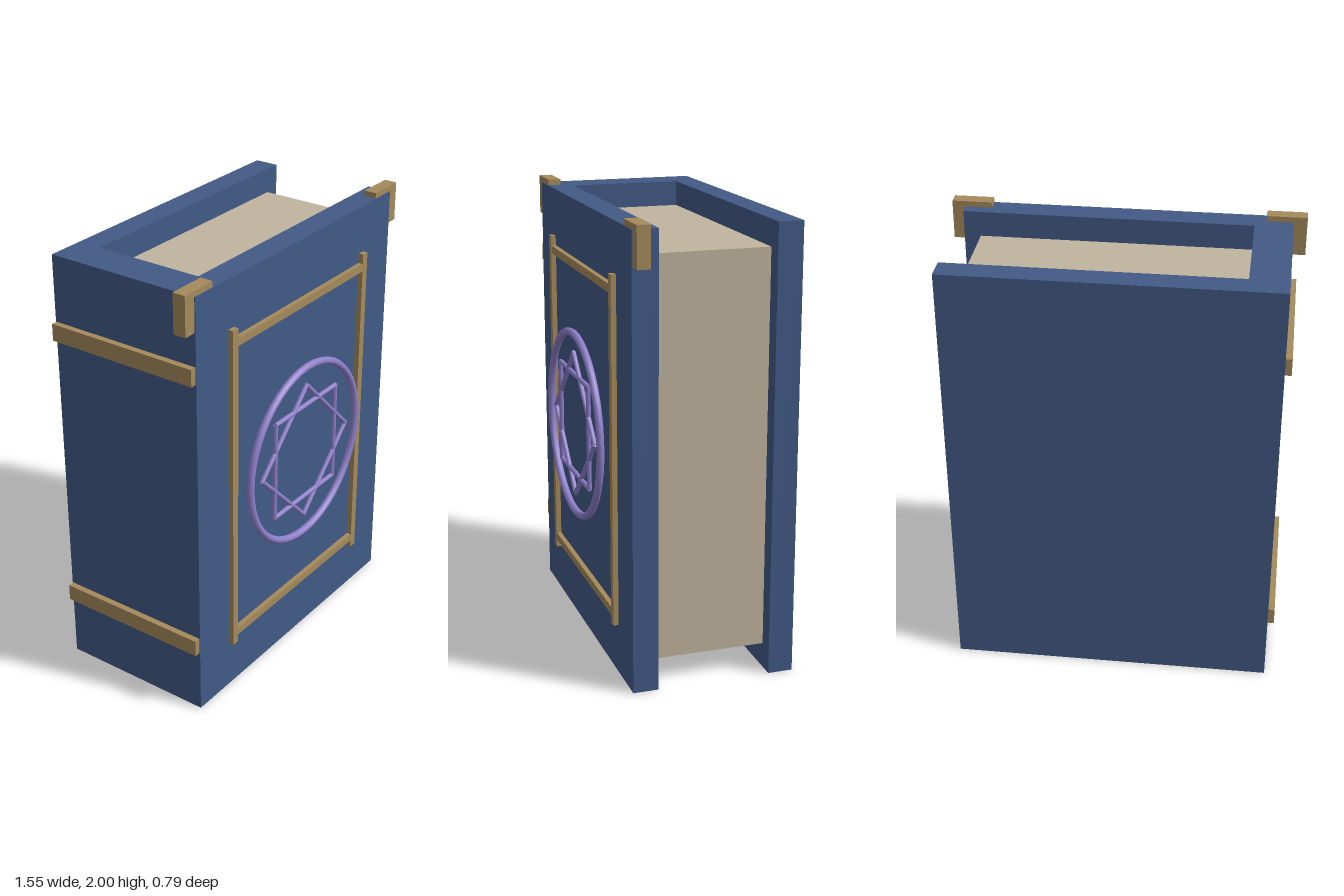
import * as THREE from 'three';

const mat = (name, color) => {
  const m = new THREE.MeshStandardMaterial({ color });
  m.name = name;
  return m;
};

export function createModel() {
  const book = new THREE.Group();
  book.name = 'book';

  const leather = mat('blue leather', 0x425a86);
  const paper = mat('cream paper', 0xc0b49f);
  const brass = mat('brass', 0xa58b5b);
  const violet = mat('violet', 0x8f80cc);

  // Box given by its minimum and maximum corners
  const box = (name, material, [x0, y0, z0], [x1, y1, z1], parent = book) => {
    const mesh = new THREE.Mesh(new THREE.BoxGeometry(x1 - x0, y1 - y0, z1 - z0), material);
    mesh.position.set((x0 + x1) / 2, (y0 + y1) / 2, (z0 + z1) / 2);
    mesh.name = name;
    parent.add(mesh);
    return mesh;
  };

  // Binding and page block
  const W = 0.717, H = 1.975, back = -0.395, front = 0.33;
  box('frontCover', leather, [-W, 0, 0.218], [W, H, front]);
  box('backCover', leather, [-W, 0, back], [W, H, -0.285]);
  box('spine', leather, [-W, 0, -0.285], [-0.55, H, 0.218]);
  box('pages', paper, [-0.55, 0.11, -0.285], [0.645, 1.862, 0.218]);

  // Raised bands across the spine
  for (const y of [0.338, 1.64]) {
    box('spineBand', brass, [-0.745, y - 0.038, back + 0.003], [-W, y + 0.038, front - 0.003]);
  }

  // Corner guards on the top of the front cover
  for (const s of [-1, 1]) {
    box('cornerGuard', brass, [s * 0.6875 - 0.0875, 1.825, 0.268], [s * 0.6875 + 0.0875, 2, 0.326]);
  }

  // Frame on the front cover
  const frame = new THREE.Group();
  frame.name = 'coverFrame';
  book.add(frame);
  for (const s of [-1, 1]) {
    const x = s * 0.487, y = 0.987 + s * 0.71;
    box('frameUpright', brass, [x - 0.018, 0.223, front], [x + 0.018, 1.759, 0.353], frame);
    box('frameRail', brass, [-0.469, y - 0.018, front], [0.469, y + 0.018, 0.352], frame);
  }

  // Emblem: ring around two crossed squares
  const emblem = new THREE.Group();
  emblem.name = 'emblem';
  emblem.position.set(0, 0.99, 0.3775);
  book.add(emblem);
  const ring = new THREE.Mesh(new THREE.TorusGeometry(0.415, 0.0175, 8, 48), violet);
  ring.name = 'emblemRing';
  emblem.add(ring);

  const rod = new THREE.CylinderGeometry(0.011, 0.011, 0.47, 8);
  for (let i = 0; i < 8; i++) {
    const a = (i * Math.PI) / 4;
    const mesh = new THREE.Mesh(rod, violet);
    mesh.position.set(Math.cos(a) * 0.232, Math.sin(a) * 0.232, 0);
    mesh.rotation.z = a;
    mesh.name = 'emblemRod';
    emblem.add(mesh);
  }

  return book;
}
